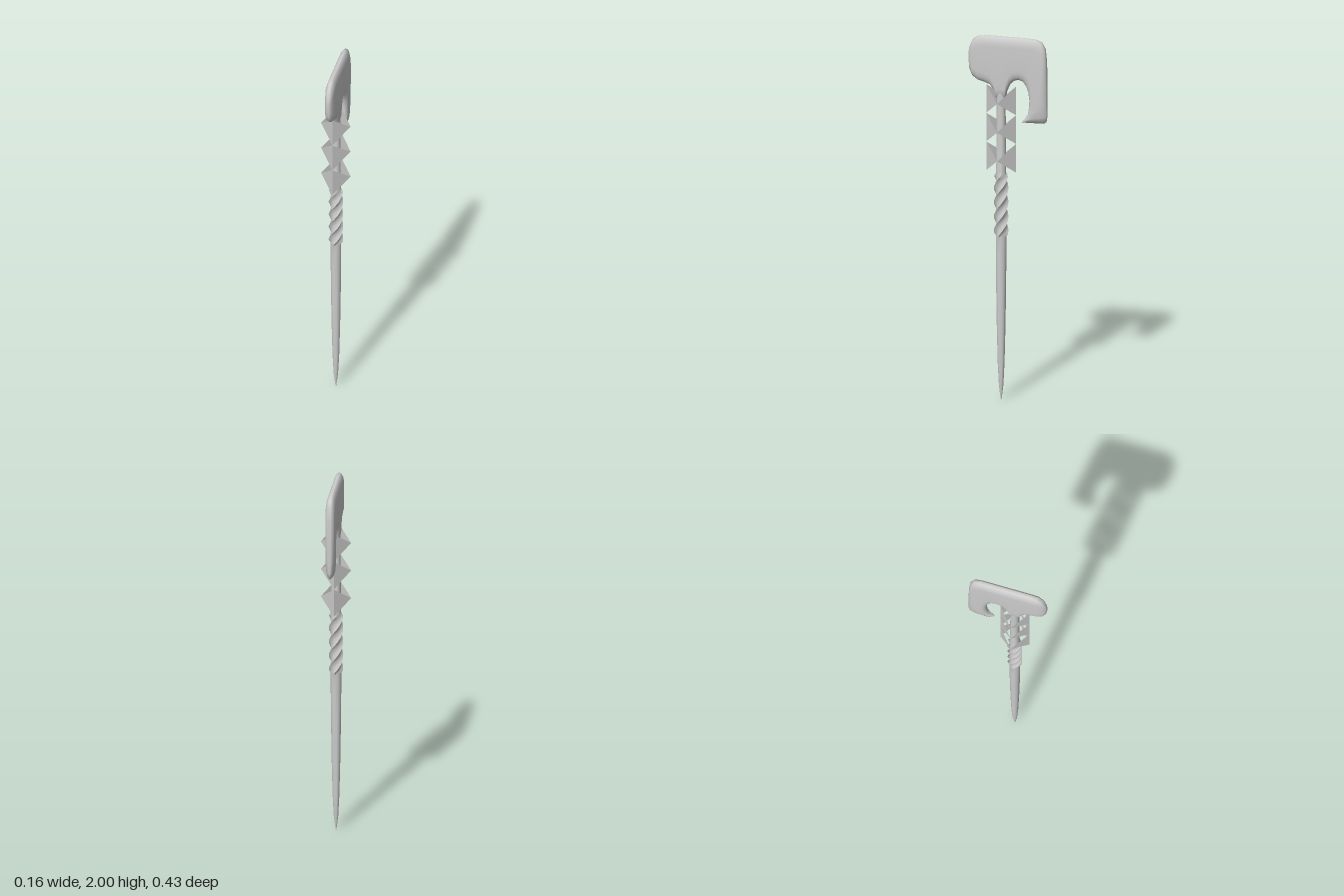
import * as THREE from 'three';
import { toCreasedNormals } from 'three/addons/utils/BufferGeometryUtils.js';

const grey = new THREE.MeshStandardMaterial({ color: 0xcccccc });
const greyThin = new THREE.MeshStandardMaterial({ color: 0xcccccc, side: THREE.DoubleSide });
const SHAFT_Z = 0.04;

// Skin a list of closed rings (equal point counts) and close both ends
function loft(rings, crease) {
  const n = rings[0].length, pos = [], idx = [];
  rings.forEach(r => r.forEach(p => pos.push(p.x, p.y, p.z)));
  for (let i = 0; i < rings.length - 1; i++) {
    for (let j = 0; j < n; j++) {
      const a = i * n + j, b = i * n + (j + 1) % n;
      idx.push(a, b, b + n, a, b + n, a + n);
    }
  }
  [0, rings.length - 1].forEach((k, end) => {
    const c = new THREE.Vector3();
    rings[k].forEach(p => c.addScaledVector(p, 1 / n));
    const ci = pos.length / 3;
    pos.push(c.x, c.y, c.z);
    for (let j = 0; j < n; j++) {
      const a = k * n + j, b = k * n + (j + 1) % n;
      if (end) idx.push(ci, a, b); else idx.push(ci, b, a);
    }
  });
  const g = new THREE.BufferGeometry();
  g.setAttribute('position', new THREE.Float32BufferAttribute(pos, 3));
  g.setIndex(idx);
  g.computeVertexNormals();
  return toCreasedNormals(g, crease);
}

function add(parent, geometry, name, material = grey) {
  const mesh = new THREE.Mesh(geometry, material);
  mesh.name = name;
  parent.add(mesh);
}

// Shaft ring: round, or a square turned by an angle
function shaftRing(y, r, square = false, turn = 0) {
  const ring = [];
  for (let j = 0; j < 16; j++) {
    const a = (j / 16) * Math.PI * 2;
    const phi = (a % (Math.PI / 2)) - Math.PI / 4;
    const rr = square ? r * Math.SQRT1_2 / Math.cos(phi) : r;
    ring.push(new THREE.Vector3(Math.sin(a + turn) * rr, y, SHAFT_Z + Math.cos(a + turn) * rr));
  }
  return ring;
}

function shaftGeometry() {
  const rings = [[0, 0.002], [0.03, 0.006], [0.08, 0.012], [0.2, 0.018], [0.4, 0.023],
    [0.6, 0.026], [0.8, 0.028], [0.9, 0.028]].map(([y, r]) => shaftRing(y, r));
  const steps = 32;
  for (let i = 0; i <= steps; i++) {
    const t = i / steps;
    rings.push(shaftRing(0.915 + 0.315 * t, 0.038, true, t * Math.PI * 2));
  }
  [[1.25, 0.026], [1.5, 0.025], [1.8, 0.022]].forEach(([y, r]) => rings.push(shaftRing(y, r)));
  return loft(rings, 0.6);
}

// Head stations from the cutting edge to the hook tip:
// outer z, y, inner z, y, thickness factor
const STATIONS = [
  [0.218, 1.90, 0.218, 1.86, 0.1], [0.212, 1.93, 0.213, 1.81, 0.5],
  [0.195, 1.972, 0.197, 1.772, 0.8], [0.165, 1.995, 0.165, 1.75, 1],
  [0.13, 2, 0.13, 1.742, 1], [0.10, 2, 0.10, 1.73, 1],
  [0.078, 2, 0.078, 1.70, 1], [0.065, 2, 0.065, 1.66, 1],
  [0.016, 2, 0.016, 1.66, 1], [0.008, 2, 0.007, 1.70, 1],
  [-0.005, 2, -0.01, 1.74, 1], [-0.04, 2, -0.03, 1.76, 1],
  [-0.10, 2, -0.055, 1.768, 1], [-0.15, 1.998, -0.08, 1.76, 1],
  [-0.185, 1.985, -0.098, 1.735, 1], [-0.203, 1.95, -0.11, 1.70, 1],
  [-0.21, 1.88, -0.115, 1.66, 1], [-0.213, 1.75, -0.113, 1.62, 1],
  [-0.213, 1.65, -0.105, 1.58, 1], [-0.213, 1.58, -0.09, 1.555, 0.9],
  [-0.208, 1.548, -0.072, 1.54, 0.6], [-0.195, 1.538, -0.075, 1.535, 0.1],
];

// Flat section with elliptically rounded edges at every station
function headGeometry() {
  const K = 6;
  const rings = STATIONS.map(([oz, oy, iz, iy, f]) => {
    const outer = new THREE.Vector3(0, oy, oz), inner = new THREE.Vector3(0, iy, iz);
    const w = outer.distanceTo(inner), r = Math.min(0.055, w * 0.48);
    const half = [];
    for (let i = 0; i <= K; i++) {
      const a = (i / K) * Math.PI / 2;
      half.push([r * (1 - Math.cos(a)) / w, 0.025 * f * Math.sin(a)]);
    }
    const side = [...half, ...half.map(([t, h]) => [1 - t, h]).reverse()];
    const back = side.slice(1, -1).reverse().map(([t, h]) => [t, -h]);
    return [...side, ...back].map(([t, h]) => {
      const p = outer.clone().lerp(inner, t);
      p.x = h;
      return p;
    });
  });
  return loft(rings, 1.0);
}

// Thin triangle: upright edge at the front or back, point at the side
function triangleGeometry(sx, sz, s = 0.08, h = 0.078) {
  const g = new THREE.BufferGeometry();
  const low = [0, -h, sz * s], tip = [sx * s, 0, 0], top = [0, h, sz * s];
  const order = sx * sz > 0 ? [low, tip, top] : [low, top, tip];
  g.setAttribute('position', new THREE.Float32BufferAttribute(order.flat(), 3));
  g.computeVertexNormals();
  return g;
}

export function createModel() {
  const model = new THREE.Group();
  model.name = 'axe';
  add(model, shaftGeometry(), 'twistedShaft');
  add(model, headGeometry(), 'axeHead');

  // Three tiers of four upright triangles around the upper shaft
  [1.65, 1.492, 1.334].forEach(y => {
    const tier = new THREE.Group();
    tier.name = 'triangleCollar';
    tier.position.set(0, y, SHAFT_Z);
    for (const sx of [1, -1]) {
      for (const sz of [1, -1]) add(tier, triangleGeometry(sx, sz), 'collarTriangle', greyThin);
    }
    model.add(tier);
  });
  return model;
}
